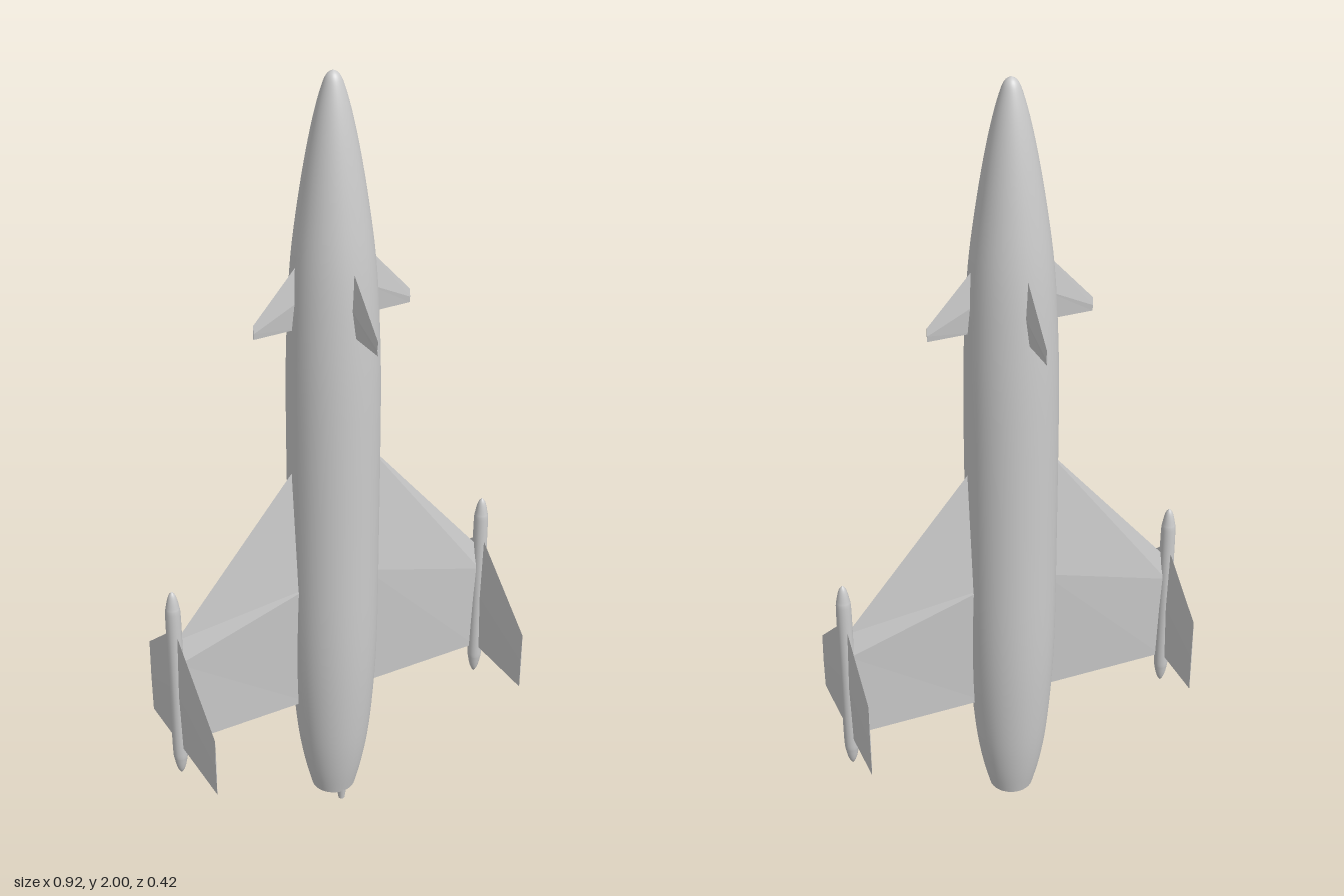
import * as THREE from 'three';

const AXIS_Z = -0.006; // centre line of the body
const smooth = new THREE.MeshStandardMaterial({ color: 0xcccccc });
const flat = new THREE.MeshStandardMaterial({ color: 0xcccccc, flatShading: true, side: THREE.DoubleSide });

// Round body from [radius, height] points, listed from the bottom up
function turned(name, profile, sides, samples) {
  const curve = new THREE.SplineCurve(profile.map(([r, y]) => new THREE.Vector2(r, y)));
  const points = curve.getPoints(samples).map((p) => new THREE.Vector2(Math.max(p.x, 0), p.y));
  const mesh = new THREE.Mesh(new THREE.LatheGeometry(points, sides), smooth);
  mesh.name = name;
  return mesh;
}

// Tapered surface along +x with a diamond cross-section.
// Each section: x, leading y, thickest y, trailing y, half thickness.
function panel(name, root, tip) {
  const loop = ([x, lead, mid, trail, t]) => [[x, lead, 0], [x, mid, t], [x, trail, 0], [x, mid, -t]];
  const a = loop(root), b = loop(tip);
  const pos = [];
  const quad = (p, q, r, s) => [p, q, r, p, r, s].forEach((v) => pos.push(...v));
  for (let i = 0; i < 4; i++) {
    const j = (i + 1) % 4;
    quad(a[i], a[j], b[j], b[i]);
  }
  quad(b[0], b[1], b[2], b[3]);
  quad(a[3], a[2], a[1], a[0]);
  const geometry = new THREE.BufferGeometry();
  geometry.setAttribute('position', new THREE.Float32BufferAttribute(pos, 3));
  geometry.computeVertexNormals();
  const mesh = new THREE.Mesh(geometry, flat);
  mesh.name = name;
  return mesh;
}

export function createModel() {
  const model = new THREE.Group();
  model.name = 'rocketPlane';
  const craft = new THREE.Group();
  craft.name = 'craft';
  craft.position.z = AXIS_Z;
  model.add(craft);

  // Fuselage with blunt ogive nose and tapered tail
  craft.add(turned('fuselage', [
    [0.057, 0.03], [0.076, 0.11], [0.093, 0.22], [0.106, 0.38], [0.112, 0.55], [0.113, 0.8],
    [0.113, 1.2], [0.108, 1.4], [0.098, 1.56], [0.08, 1.7], [0.06, 1.82], [0.041, 1.91],
    [0.024, 1.97], [0.013, 1.992], [0, 2],
  ], 32, 56));

  const tailCap = new THREE.Mesh(new THREE.CircleGeometry(0.057, 32), smooth);
  tailCap.name = 'tailCap';
  tailCap.rotation.x = Math.PI / 2;
  tailCap.position.y = 0.03;
  craft.add(tailCap);

  // Small off-centre exhaust under the tail
  const exhaust = new THREE.Mesh(new THREE.CylinderGeometry(0.014, 0.008, 0.04, 12), smooth);
  exhaust.name = 'exhaust';
  exhaust.position.set(0, 0.02, 0.045);
  craft.add(exhaust);

  // Four nose fins
  for (let i = 0; i < 4; i++) {
    const fin = panel('noseFin', [0.07, 1.59, 1.49, 1.405, 0.009], [0.206, 1.44, 1.42, 1.405, 0.002]);
    fin.rotation.y = (i * Math.PI) / 2;
    craft.add(fin);
  }

  // Wings, each with a tip pod carrying two fins
  for (const [side, turn] of [['left', 0], ['right', Math.PI]]) {
    const wing = new THREE.Group();
    wing.name = side + 'WingGroup';
    wing.rotation.y = turn;
    wing.add(panel(side + 'Wing', [0.08, 1.066, 0.7, 0.325, 0.025], [0.435, 0.645, 0.58, 0.325, 0.011]));

    const pod = new THREE.Group();
    pod.name = side + 'TipPod';
    pod.position.x = 0.44;
    pod.rotation.y = -turn;
    pod.add(turned('podBody', [
      [0, 0.235], [0.009, 0.25], [0.016, 0.28], [0.019, 0.32], [0.019, 0.5],
      [0.019, 0.71], [0.016, 0.75], [0.009, 0.78], [0, 0.792],
    ], 16, 32));

    const frontFin = panel('podFrontFin', [0, 0.685, 0.5, 0.325, 0.004], [0.216, 0.49, 0.41, 0.325, 0.001]);
    frontFin.rotation.y = -Math.PI / 2;
    const rearFin = panel('podRearFin', [0, 0.68, 0.5, 0.325, 0.004], [0.164, 0.54, 0.43, 0.325, 0.001]);
    rearFin.rotation.y = Math.PI / 2;
    pod.add(frontFin, rearFin);
    wing.add(pod);
    craft.add(wing);
  }
  return model;
}
